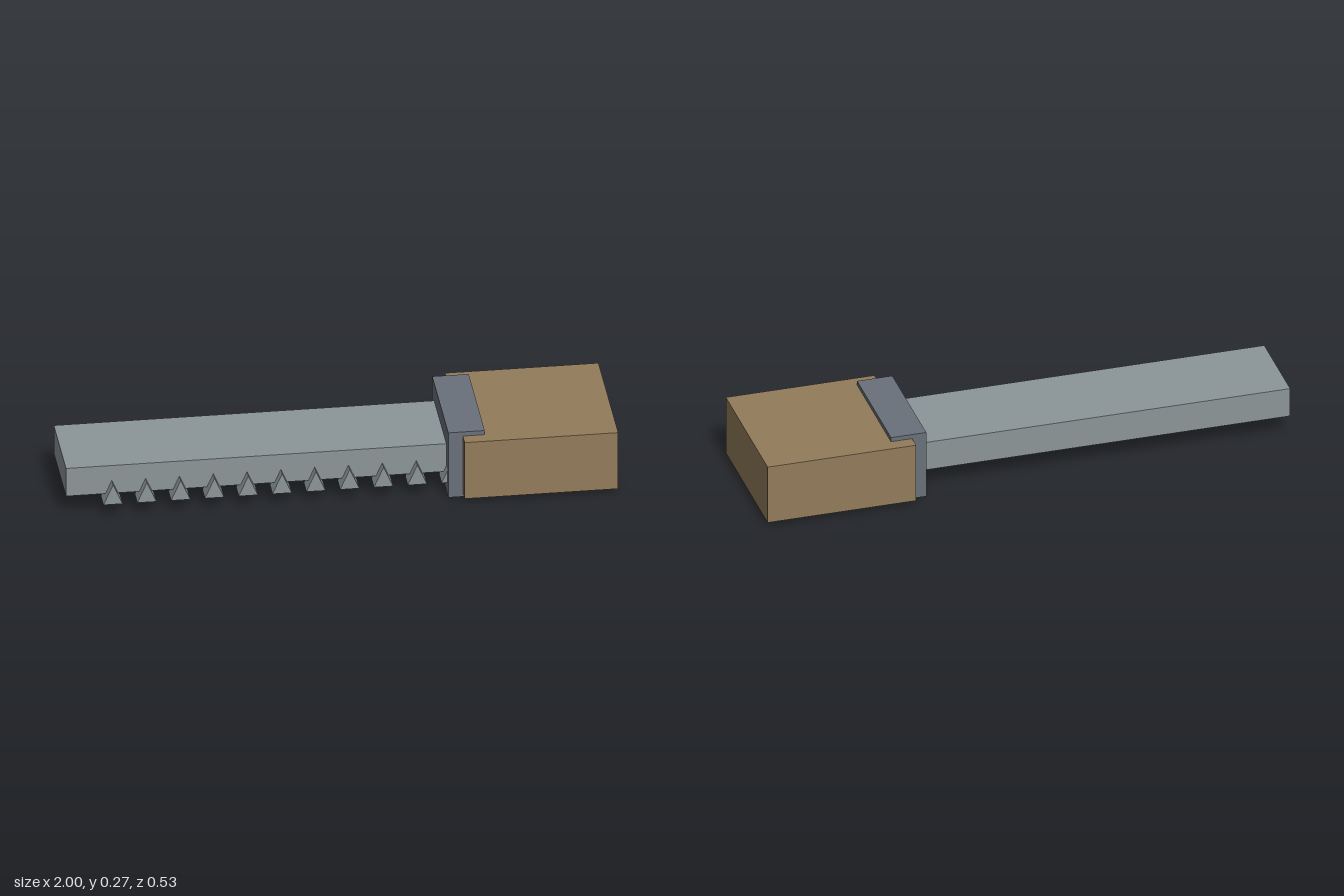
import * as THREE from 'three';

const material = (name, color) => {
  const m = new THREE.MeshStandardMaterial({ color });
  m.name = name;
  return m;
};

export function createModel() {
  const steel = material('steel', 0x8c9597);
  const darkSteel = material('darkSteel', 0x69707a);
  const wood = material('wood', 0x937b5b);
  const model = new THREE.Group();
  model.name = 'serratedBlade';

  // Box given by its lower and upper limits
  const box = (name, mat, [x0, y0, z0], [x1, y1, z1]) => {
    const mesh = new THREE.Mesh(new THREE.BoxGeometry(x1 - x0, y1 - y0, z1 - z0), mat);
    mesh.position.set((x0 + x1) / 2, (y0 + y1) / 2, (z0 + z1) / 2);
    mesh.name = name;
    model.add(mesh);
  };

  box('blade', steel, [-1, 0.08, -0.164], [0.44, 0.194, 0.164]);
  box('collar', darkSteel, [0.387, 0, -0.215], [0.52, 0.266, 0.215]);
  box('handle', wood, [0.44, 0.018, -0.265], [1, 0.249, 0.265]);

  // Row of triangular teeth along the front edge of the blade
  const profile = new THREE.Shape([
    new THREE.Vector2(-0.035, 0),
    new THREE.Vector2(0.035, 0),
    new THREE.Vector2(0, 0.08),
  ]);
  const toothGeometry = new THREE.ExtrudeGeometry(profile, { depth: 0.07, bevelEnabled: false });
  const teeth = new THREE.Group();
  teeth.name = 'teeth';
  for (let i = 0; i < 11; i++) {
    const tooth = new THREE.Mesh(toothGeometry, steel);
    tooth.name = 'tooth';
    tooth.position.set(-0.833 + i * 0.1233, 0.053, 0.129);
    teeth.add(tooth);
  }
  model.add(teeth);
  return model;
}
